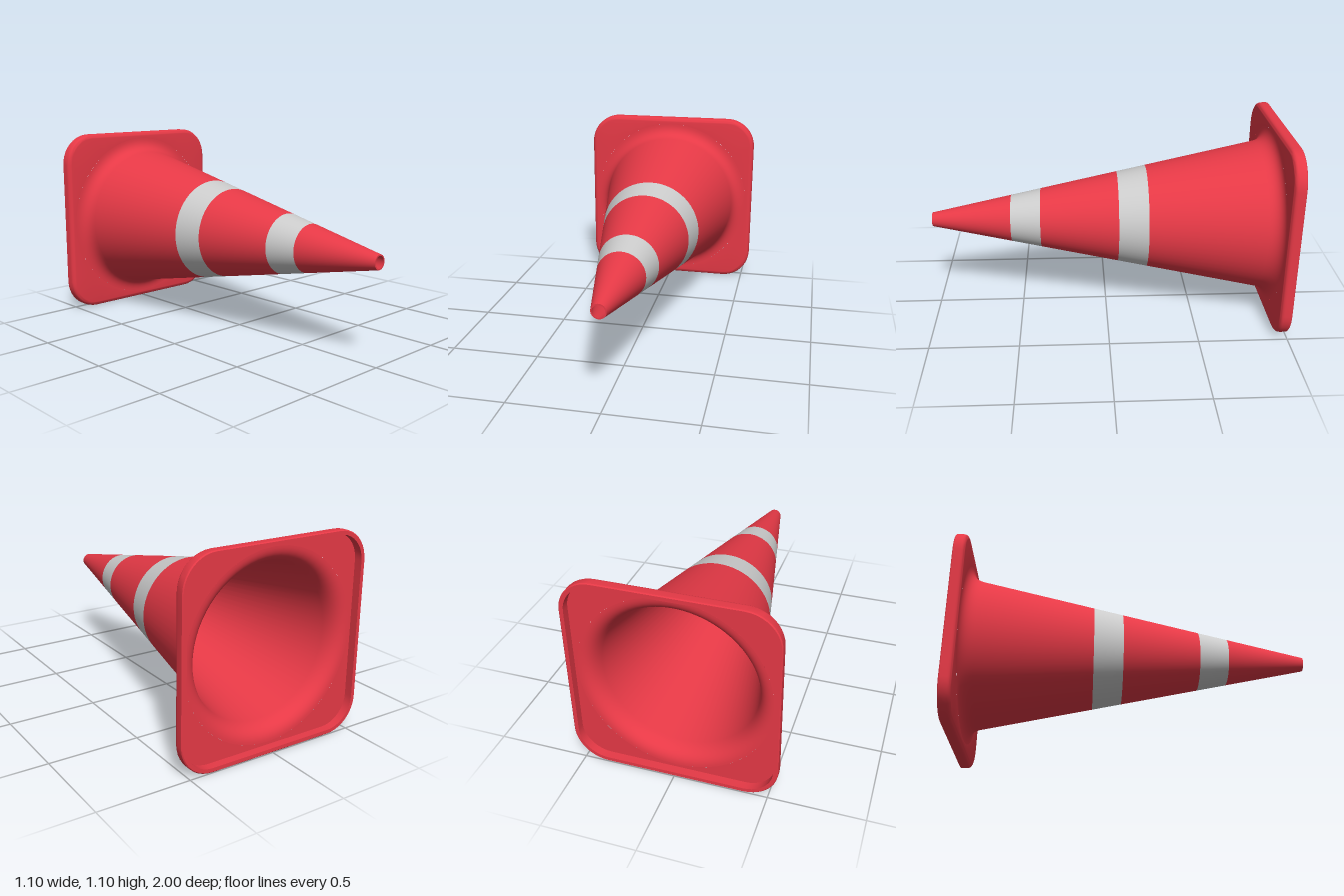
import * as THREE from 'three';
import { toCreasedNormals } from 'three/addons/utils/BufferGeometryUtils.js';

const AXIS_Y = 0.55, HALF = 0.55, CORNER = 0.18, FLARE_R = 0.51;
const FRONT_Z = -0.935, RECESS_Z = -0.955, WALL = 0.007;
const coneRadius = z => 0.04 + (1 - z) * 0.2067;

const red = new THREE.MeshStandardMaterial({ color: 0xe63946 });
const grey = new THREE.MeshStandardMaterial({ color: 0xcccccc });

// Revolve [radius, z] points around the z axis
function revolve(name, points, material) {
  const geometry = new THREE.LatheGeometry(points.map(([r, z]) => new THREE.Vector2(r, z)), 64);
  geometry.rotateX(Math.PI / 2);
  const mesh = new THREE.Mesh(geometry, material);
  mesh.name = name;
  return mesh;
}

// Fillet from the base plate up into the cone wall
function flare(plateZ, inset) {
  const curve = new THREE.QuadraticBezierCurve(
    new THREE.Vector2(FLARE_R, plateZ),
    new THREE.Vector2(coneRadius(plateZ) - inset, plateZ),
    new THREE.Vector2(coneRadius(-0.865) - inset, -0.865));
  return curve.getPoints(12).map(p => [p.x, p.y]);
}

// Rounded-square outline, with subdivided straight sides
function squareRing(inset, z) {
  const ring = [], r = CORNER - inset, c = HALF - CORNER;
  for (let side = 0; side < 4; side++) {
    const start = side * Math.PI / 2;
    const centre = new THREE.Vector2(c, c).rotateAround(new THREE.Vector2(), start);
    for (let i = 0; i <= 10; i++) {
      const a = start + i / 10 * Math.PI / 2;
      ring.push(new THREE.Vector3(centre.x + r * Math.cos(a), centre.y + r * Math.sin(a), z));
    }
    const from = ring[ring.length - 1];
    const along = new THREE.Vector3(-Math.sin(start + Math.PI / 2), Math.cos(start + Math.PI / 2), 0).negate();
    along.set(Math.cos(start + Math.PI), Math.sin(start + Math.PI), 0);
    for (let i = 1; i < 8; i++) ring.push(from.clone().addScaledVector(along, 2 * c * i / 8));
  }
  return ring;
}

// Circle whose points line up with the square outline
function circleRing(radius, z) {
  return squareRing(0, 0).map(p => p.setLength(radius).setZ(z));
}

// Skin closed rings one after another
function loft(rings) {
  const n = rings[0].length, index = [];
  for (let k = 0; k < rings.length - 1; k++) {
    for (let i = 0; i < n; i++) {
      const a = k * n + i, b = k * n + (i + 1) % n;
      index.push(a, a + n, b, b, a + n, b + n);
    }
  }
  const geometry = new THREE.BufferGeometry().setFromPoints(rings.flat());
  geometry.setIndex(index);
  return toCreasedNormals(geometry, 0.7);
}

export function createModel() {
  const model = new THREE.Group();
  model.name = 'trafficCone';
  const body = new THREE.Group();
  body.name = 'coneBody';
  body.position.y = AXIS_Y;
  model.add(body);

  // Square base: front face, rounded edge, back rim and recessed underside
  const edge = [];
  for (let i = 0; i <= 5; i++) {
    const a = i / 5 * Math.PI / 2;
    edge.push(squareRing(0.025 * (1 - Math.sin(a)), FRONT_Z - 0.025 * (1 - Math.cos(a))));
  }
  const base = new THREE.Mesh(loft([
    circleRing(FLARE_R, FRONT_Z), ...edge,
    squareRing(0, -0.995), squareRing(0.005, -1),
    squareRing(0.025, -1), squareRing(0.025, RECESS_Z),
    circleRing(FLARE_R, RECESS_Z),
  ]), red);
  base.name = 'base';
  body.add(base);

  // Outer wall in alternating red sections and reflective bands
  body.add(revolve('flare', flare(FRONT_Z, 0), red));
  const stops = [-0.865, -0.23, -0.065, 0.375, 0.545, 1];
  for (let i = 0; i < stops.length - 1; i++) {
    const points = [stops[i], stops[i + 1]].map(z => [coneRadius(z), z]);
    const band = i % 2 === 1;
    body.add(revolve(band ? 'reflectiveBand' : 'coneSection', points, band ? grey : red));
  }

  // Open tip and hollow interior
  const tip = coneRadius(1);
  body.add(revolve('tipRim', [[tip, 1], [tip - WALL, 1]], red));
  body.add(revolve('innerWall', [[tip - WALL, 1], ...flare(RECESS_Z, WALL).reverse()], red));
  return model;
}
